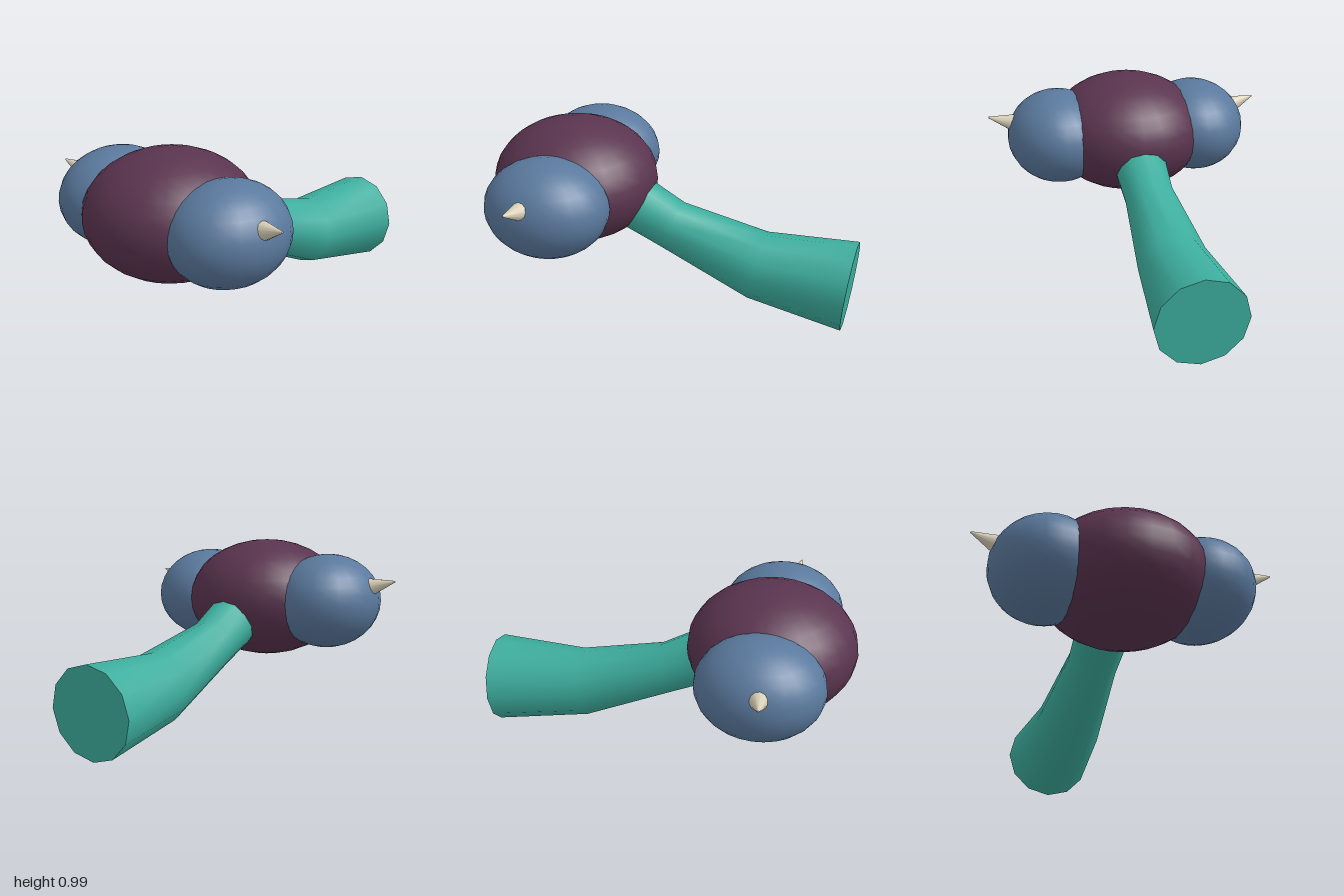
import * as THREE from 'three';

const mat = (name, color) => {
  const m = new THREE.MeshStandardMaterial({ color });
  m.name = name;
  return m;
};

function ellipsoid(name, material, center, radii) {
  const mesh = new THREE.Mesh(new THREE.SphereGeometry(1, 24, 16), material);
  mesh.name = name;
  mesh.position.set(...center);
  mesh.scale.set(...radii);
  return mesh;
}

// Tapered cone from a base point to a tip point
function spike(name, material, base, tip, radius) {
  const a = new THREE.Vector3(...base), b = new THREE.Vector3(...tip);
  const dir = b.clone().sub(a);
  const mesh = new THREE.Mesh(new THREE.CylinderGeometry(0.004, radius, dir.length(), 12), material);
  mesh.name = name;
  mesh.position.copy(a).add(b).multiplyScalar(0.5);
  mesh.quaternion.setFromUnitVectors(new THREE.Vector3(0, 1, 0), dir.normalize());
  return mesh;
}

// Smooth bent tube through tilted rings [x, y, radius, tilt], capped at both ends
function bentTube(rings, sides) {
  const pos = [], index = [];
  const point = ([x, y, r, tilt], j) => {
    const a = (j / sides) * Math.PI * 2;
    const up = Math.cos(a) * r;
    return [x + Math.sin(tilt) * up, y + Math.cos(tilt) * up, Math.sin(a) * r];
  };
  for (const ring of rings) for (let j = 0; j < sides; j++) pos.push(...point(ring, j));
  for (let i = 0; i < rings.length - 1; i++) {
    for (let j = 0; j < sides; j++) {
      const k = (j + 1) % sides;
      const a = i * sides + j, b = i * sides + k, c = a + sides, d = b + sides;
      index.push(a, b, c, b, d, c);
    }
  }
  // End caps use their own vertices so the rims stay sharp
  for (const end of [0, rings.length - 1]) {
    const start = pos.length / 3;
    for (let j = 0; j < sides; j++) pos.push(...point(rings[end], j));
    for (let j = 1; j < sides - 1; j++) {
      if (end === 0) index.push(start, start + j + 1, start + j);
      else index.push(start, start + j, start + j + 1);
    }
  }
  const g = new THREE.BufferGeometry();
  g.setAttribute('position', new THREE.Float32BufferAttribute(pos, 3));
  g.setIndex(index);
  g.computeVertexNormals();
  return g;
}

export function createModel() {
  const plum = mat('plum', 0x5a344f);
  const blue = mat('slate blue', 0x5a799d);
  const teal = mat('teal', 0x3dae9e);
  const bone = mat('bone', 0xd9d0b8);
  const group = new THREE.Group();
  group.name = 'model';

  // Central body
  group.add(ellipsoid('body', plum, [-0.555, 0.66, 0], [0.445, 0.33, 0.445]));

  // Side lobes, each with a spike
  for (const [side, s] of [['front', 1], ['back', -1]]) {
    group.add(ellipsoid(side + 'Lobe', blue, [-0.555, 0.66, 0.4 * s], [0.33, 0.26, 0.287]));
    group.add(spike(side + 'Spike', bone, [-0.585, 0.745, 0.645 * s], [-0.605, 0.782, 0.785 * s], 0.05));
  }

  // Flaring tail, buried in the body at its narrow end
  const tail = new THREE.Mesh(bentTube([
    [-0.4, 0.655, 0.155, 0.48],
    [-0.007, 0.452, 0.136, 0.44],
    [0.475, 0.283, 0.186, 0.19],
    [0.976, 0.239, 0.239, 0.085],
  ], 12), teal);
  tail.name = 'tail';
  group.add(tail);

  return group;
}
